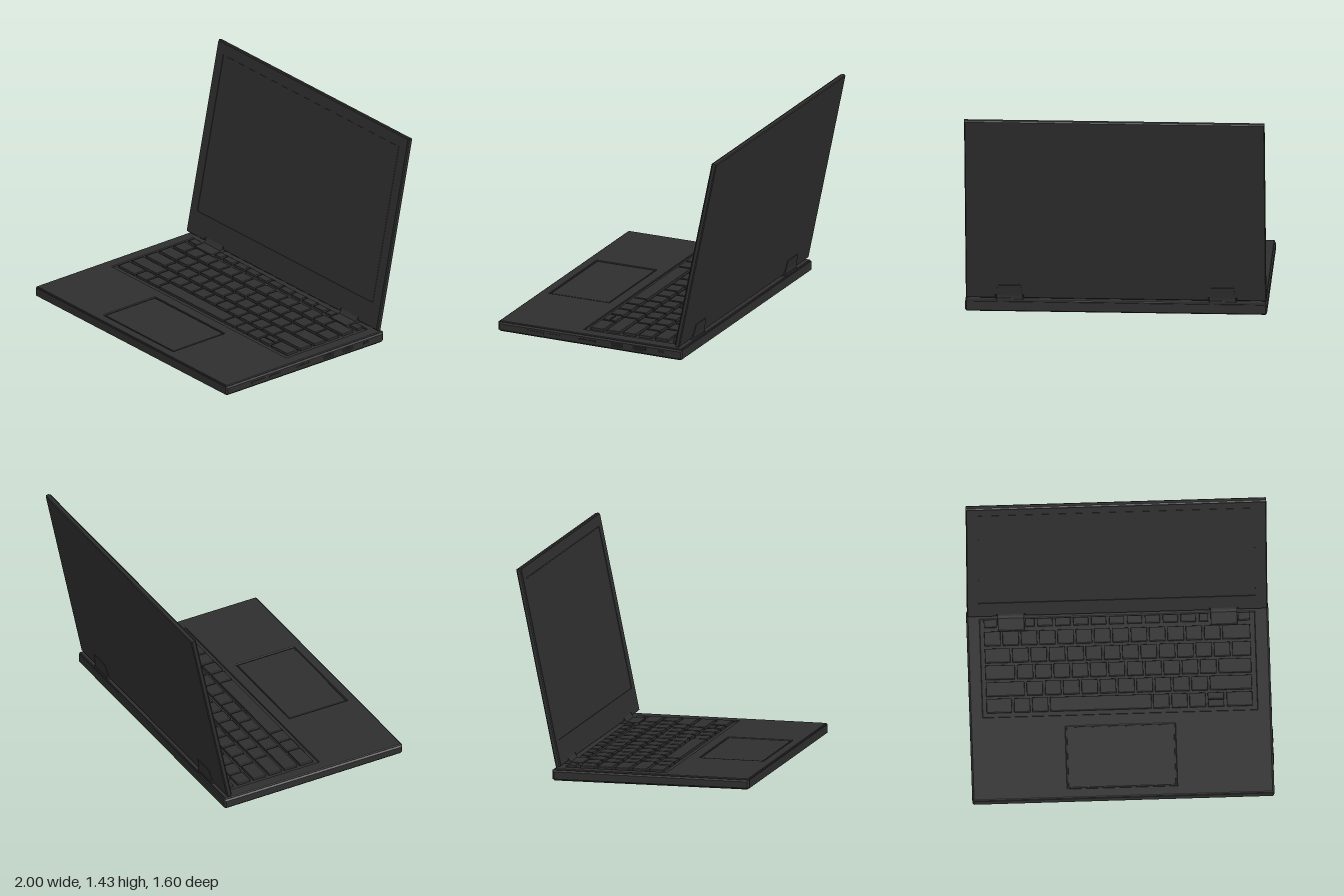
import * as THREE from 'three';
import { RoundedBoxGeometry } from 'three/addons/geometries/RoundedBoxGeometry.js';

const charcoal = new THREE.MeshStandardMaterial({ color: 0x2e2e2e });
charcoal.name = 'charcoal';
const portBlack = new THREE.MeshStandardMaterial({ color: 0x1e1e1e });
portBlack.name = 'portBlack';

function add(parent, name, geometry, material = charcoal) {
  const mesh = new THREE.Mesh(geometry, material);
  mesh.name = name;
  parent.add(mesh);
  return mesh;
}

// Box given by its limits on each axis; r > 0 rounds the edges
function box(parent, name, [x0, x1], [y0, y1], [z0, z1], r = 0, material = charcoal) {
  const size = [x1 - x0, y1 - y0, z1 - z0];
  const geometry = r ? new RoundedBoxGeometry(...size, 1, r) : new THREE.BoxGeometry(...size);
  const mesh = add(parent, name, geometry, material);
  mesh.position.set((x0 + x1) / 2, (y0 + y1) / 2, (z0 + z1) / 2);
}

const polygon = (points) => new THREE.Shape(points.map(([x, y]) => new THREE.Vector2(x, y)));
const rect = (x0, x1, y0, y1) => [[x0, y0], [x1, y0], [x1, y1], [x0, y1]];
const extrude = (shape, depth, bevel = 0) => new THREE.ExtrudeGeometry(shape, {
  depth: depth - 2 * bevel, bevelEnabled: bevel > 0, bevelSize: bevel, bevelThickness: bevel, bevelSegments: 1,
}).translate(0, 0, bevel);

function buildBase(group) {
  // Wedge body, extruded across the width
  const body = extrude(polygon([
    [-0.788, 0.036], [-0.78, 0.032], [0.53, 0.025], [0.538, 0.03], [0.538, 0.074], [-0.788, 0.074],
  ]), 2, 0.011);
  add(group, 'baseBody', body.rotateY(Math.PI / 2).translate(-1, 0, 0));

  // Deck with openings for keyboard and touchpad
  const deck = polygon(rect(-0.988, 0.988, -0.788, 0.538));
  deck.holes.push(polygon(rect(-0.915, 0.91, -0.214, 0.484)));
  deck.holes.push(polygon(rect(-0.372, 0.362, -0.732, -0.286)));
  add(group, 'deck', extrude(deck, 0.012, 0.004).rotateX(-Math.PI / 2).translate(0, 0.081, 0));
  box(group, 'touchpad', [-0.36, 0.35], [0.08, 0.091], [0.296, 0.72], 0.003);

  // Feet
  for (const side of [-1, 1]) {
    const x = side * 0.785;
    box(group, 'frontFoot', [x - 0.085, x + 0.085], [0.008, 0.03], [0.65, 0.69], 0.006);
    box(group, 'rearFoot', [x - 0.085, x + 0.085], [0, 0.03], [-0.39, -0.355], 0.006);
  }
}

function buildKeyboard(group) {
  const left = -0.885, right = 0.875, gap = 0.014, pitch = 0.1213;
  const key = (x0, x1, z0, z1) => box(group, 'key', [x0, x1], [0.08, 0.102], [z0, z1], 0.004);

  // Short top row, interrupted by the hinges
  key(left, -0.8, -0.475, -0.422);
  key(-0.61, -0.55, -0.475, -0.422);
  for (let i = 0; i < 9; i++) key(-0.53 + i * 0.1185, -0.43 + i * 0.1185, -0.475, -0.422);
  key(0.54, 0.6, -0.475, -0.422);
  key(0.797, right, -0.475, -0.422);

  // Typing rows: first key width, number of standard keys, z start
  const rows = [[0.107, 12, -0.39], [0.168, 12, -0.27], [0.195, 11, -0.152], [0.255, 10, -0.034]];
  for (const [first, count, z] of rows) {
    key(left, left + first, z, z + 0.097);
    const start = left + first + gap;
    for (let i = 0; i < count; i++) key(start + i * pitch, start + (i + 1) * pitch - gap, z, z + 0.097);
    key(start + count * pitch, right, z, z + 0.097);
  }

  // Space bar row with split arrow keys
  const bottom = [[left, -0.717], [-0.703, -0.596], [-0.582, -0.477], [-0.463, 0.207],
    [0.218, 0.325], [0.34, 0.445], [0.459, 0.565], [0.705, right]];
  for (const [a, b] of bottom) key(a, b, 0.083, 0.18);
  key(0.58, 0.687, 0.083, 0.127);
  key(0.58, 0.687, 0.134, 0.18);
}

function buildPorts(group) {
  // Side connectors: z range and y range
  const ports = [
    ['cardSlot', [0.085, 0.21], [0.05, 0.062]],
    ['wideSocket', [-0.12, -0.03], [0.036, 0.068]],
    ['lockSlot', [-0.42, -0.375], [0.048, 0.064]],
  ];
  for (const [name, z, y] of ports) box(group, name, [0.996, 1.001], y, z, 0, portBlack);
  const socket = polygon([[0.19, 0.068], [0.19, 0.048], [0.21, 0.036], [0.265, 0.036], [0.285, 0.048], [0.285, 0.068]]);
  add(group, 'videoSocket', extrude(socket, 0.005).rotateY(Math.PI / 2).translate(0.996, 0, 0), portBlack);
  for (const z of [[0.34, 0.43], [0.465, 0.585]]) box(group, 'sideButton', [0.99, 1.004], [0.048, 0.06], z);
}

function buildLid(group) {
  const lid = new THREE.Group();
  lid.name = 'lid';
  lid.position.set(0, 0.11, -0.491);
  lid.rotation.x = -0.204;
  group.add(lid);

  // Outline, inset by e, with two hinge notches along the lower edge
  const outline = (e) => polygon([
    [-0.995 + e, e], [-0.795 - e, e], [-0.795 - e, 0.02 + e], [-0.615 + e, 0.02 + e], [-0.615 + e, e],
    [0.615 - e, e], [0.615 - e, 0.02 + e], [0.795 + e, 0.02 + e], [0.795 + e, e], [0.995 - e, e],
    [0.995 - e, 1.35 - e], [-0.995 + e, 1.35 - e],
  ]);
  add(lid, 'lidShell', extrude(outline(0.006), 0.032, 0.006).translate(0, 0, -0.036));
  const bezel = outline(0.006);
  bezel.holes.push(polygon(rect(-0.92, 0.915, 0.168, 1.272)));
  add(lid, 'bezel', extrude(bezel, 0.006).translate(0, 0, -0.006));
  box(lid, 'screen', [-0.914, 0.909], [0.174, 1.266], [-0.006, -0.002]);

  // Hinge covers on the back of the lid
  for (const x of [-0.705, 0.705]) {
    const cover = polygon([[-0.09, -0.005], [0.09, -0.005], [0.075, 0.1], [-0.075, 0.1]]);
    add(lid, 'hingeCover', extrude(cover, 0.012).translate(x, 0, -0.041));
  }
}

function buildHinges(group) {
  for (const x of [-0.705, 0.705]) {
    box(group, 'hingePlate', [x - 0.088, x + 0.088], [0.075, 0.105], [-0.54, -0.395], 0.004);
    // Flared arm joining plate and lid, profile in side view
    const arm = polygon([[0.475, 0.1], [0.535, 0.1], [0.537, 0.15], [0.508, 0.15], [0.49, 0.12]]);
    add(group, 'hingeArm', extrude(arm, 0.174).rotateY(Math.PI / 2).translate(x - 0.087, 0, 0));
  }
}

export function createModel() {
  const model = new THREE.Group();
  model.name = 'laptop';
  for (const [name, build] of [['base', buildBase], ['keyboard', buildKeyboard], ['ports', buildPorts],
    ['hinges', buildHinges], ['display', buildLid]]) {
    const part = new THREE.Group();
    part.name = name;
    build(part);
    model.add(part);
  }
  return model;
}
